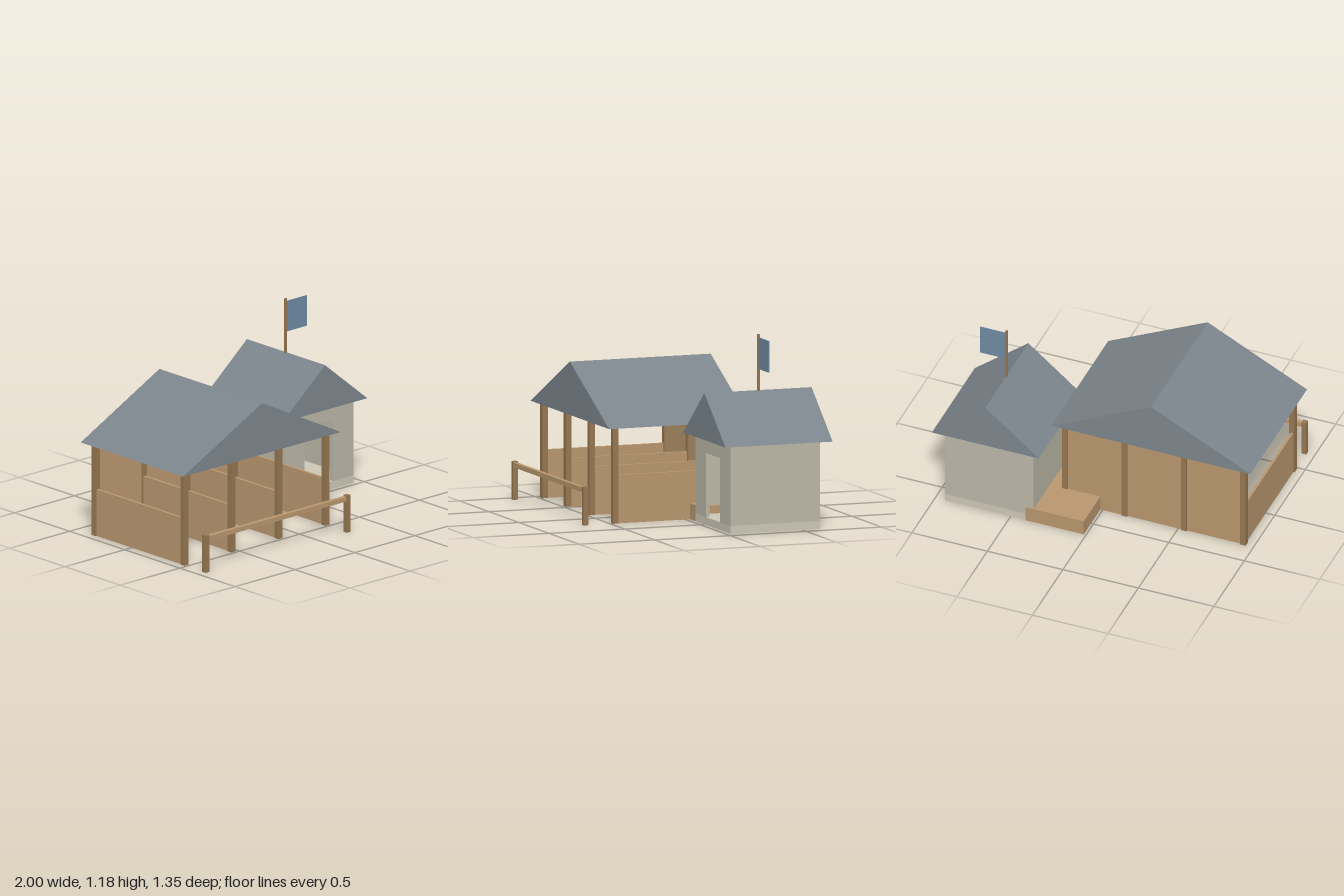
import * as THREE from 'three';

const mat = (color) => new THREE.MeshStandardMaterial({ color, flatShading: true });

export function createModel() {
  const model = new THREE.Group();
  const wood = mat(0xb8966e), darkWood = mat(0x957650), slate = mat(0x7c858c);
  const plaster = mat(0xbab6a6), stone = mat(0xccc6b4), cloth = mat(0x6f8aa2);

  const add = (parent, name, geometry, material) => {
    const mesh = new THREE.Mesh(geometry, material);
    mesh.name = name;
    parent.add(mesh);
    return mesh;
  };
  const group = (name) => {
    const g = new THREE.Group();
    g.name = name;
    model.add(g);
    return g;
  };
  // Box given by its extents along each axis
  const box = (parent, name, material, [x0, x1], [y0, y1], [z0, z1]) => {
    const mesh = add(parent, name, new THREE.BoxGeometry(x1 - x0, y1 - y0, z1 - z0), material);
    mesh.position.set((x0 + x1) / 2, (y0 + y1) / 2, (z0 + z1) / 2);
    return mesh;
  };
  // Solid gable roof with its ridge along z
  const gable = (parent, name, [x0, x1], [y0, y1], [z0, z1]) => {
    const s = new THREE.Shape();
    s.moveTo(x0, y0);
    s.lineTo(x1, y0);
    s.lineTo((x0 + x1) / 2, y1);
    s.closePath();
    const geo = new THREE.ExtrudeGeometry(s, { depth: z1 - z0, bevelEnabled: false });
    add(parent, name, geo, slate).position.z = z0;
  };

  // Open stable: posts, stall partitions, back wall and roof
  const stable = group('stable');
  for (let i = 0; i < 4; i++) {
    const x = -0.932 + i * 0.393;
    for (const z of [0.467, -0.337]) {
      box(stable, z > 0 ? 'frontPost' : 'backPost', darkWood,
        [x - 0.018, x + 0.018], [0, 0.6], [z - 0.018, z + 0.018]);
    }
    box(stable, 'stallPartition', wood, [x - 0.009, x + 0.009], [0, 0.3], [-0.33, 0.455]);
  }
  box(stable, 'backWall', wood, [-0.932, 0.247], [0, 0.6], [-0.346, -0.328]);
  gable(stable, 'stableRoof', [-1, 0.317], [0.597, 0.928], [-0.4, 0.53]);

  // Hitching rail in front of the stable
  const rail = group('hitchingRail');
  for (const x of [-0.932, 0.247]) {
    box(rail, 'railPost', darkWood, [x - 0.016, x + 0.016], [0, 0.238], [0.645, 0.677]);
  }
  box(rail, 'railBar', wood, [-0.948, 0.263], [0.202, 0.231], [0.647, 0.675]);

  // Hut: stone base, walls with a front doorway, roof
  const hut = group('hut');
  const [x0, x1, z0, z1, t] = [0.348, 0.936, -0.618, -0.026, 0.025];
  box(hut, 'hutBase', stone, [x0, x1], [0.001, 0.05], [z0, z1]);
  const wall = [0.05, 0.55];
  box(hut, 'hutBackWall', plaster, [x0, x1], wall, [z0, z0 + t]);
  box(hut, 'hutRightWall', plaster, [x0, x0 + t], wall, [z0 + t, z1 - t]);
  box(hut, 'hutLeftWall', plaster, [x1 - t, x1], wall, [z0 + t, z1 - t]);
  const front = new THREE.Shape([
    [x0, 0.05], [0.525, 0.05], [0.525, 0.448], [0.763, 0.448],
    [0.763, 0.05], [x1, 0.05], [x1, 0.55], [x0, 0.55],
  ].map(([x, y]) => new THREE.Vector2(x, y)));
  add(hut, 'hutFrontWall', new THREE.ExtrudeGeometry(front, { depth: t, bevelEnabled: false }), plaster)
    .position.z = z1 - t;
  gable(hut, 'hutRoof', [0.29, 0.998], [0.547, 0.838], [-0.677, 0.031]);

  // Low platform joining the hut and the stable
  box(model, 'platform', wood, [0.015, 0.4], [0, 0.1], [-0.62, -0.028]);

  // Flag on the hut ridge
  const flag = group('flag');
  box(flag, 'flagPole', darkWood, [0.637, 0.651], [0.83, 1.184], [-0.333, -0.319]);
  box(flag, 'flagCloth', cloth, [0.65, 0.82], [0.97, 1.166], [-0.329, -0.323]);

  return model;
}
